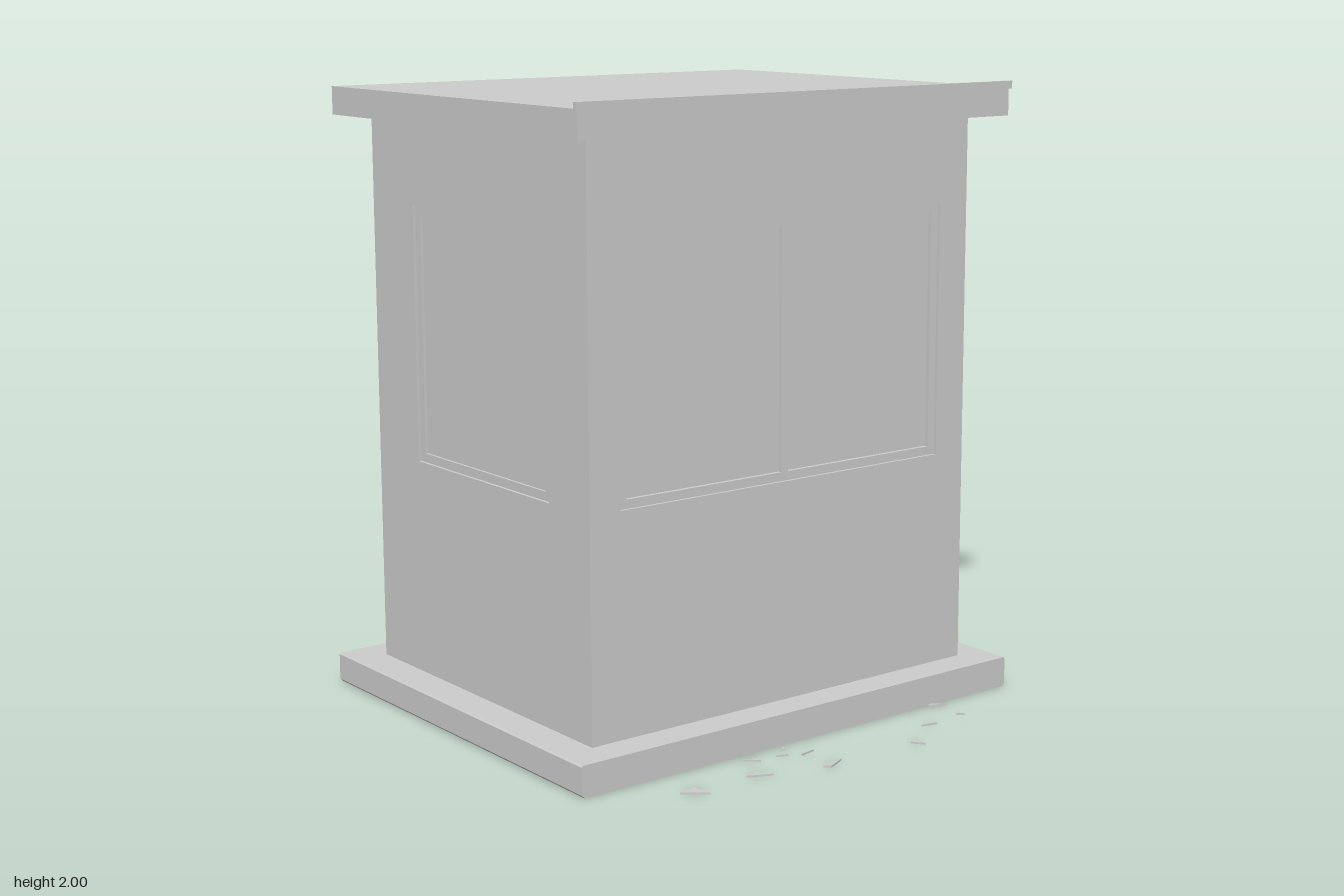
import * as THREE from 'three';

const grey = new THREE.MeshStandardMaterial({ color: 0xcccccc });
grey.name = 'plain grey';
const greyDouble = grey;

// Box given by its minimum and maximum corners
function box(parent, name, x0, x1, y0, y1, z0, z1) {
  const m = new THREE.Mesh(new THREE.BoxGeometry(x1 - x0, y1 - y0, z1 - z0), grey);
  m.position.set((x0 + x1) / 2, (y0 + y1) / 2, (z0 + z1) / 2);
  m.name = name;
  parent.add(m);
  return m;
}

function group(parent, name) {
  const g = new THREE.Group();
  g.name = name;
  parent.add(g);
  return g;
}

// Wall in its own plane (u along x, thickness along z) with one rectangular opening
function wallWithOpening(parent, name, u0, u1, y0, y1, t, o) {
  const g = group(parent, name);
  box(g, name + 'Lower', u0, u1, y0, o.y0, 0, t);
  box(g, name + 'Upper', u0, u1, o.y1, y1, 0, t);
  box(g, name + 'SideA', u0, o.u0, o.y0, o.y1, 0, t);
  box(g, name + 'SideB', o.u1, u1, o.y0, o.y1, 0, t);
  return g;
}

// Four-sided frame with optional glass, filling an opening
function windowUnit(parent, o, w, z0, z1) {
  const g = group(parent, 'window');
  box(g, 'frameBottom', o.u0, o.u1, o.y0, o.y0 + w, z0, z1);
  box(g, 'frameTop', o.u0, o.u1, o.y1 - w, o.y1, z0, z1);
  box(g, 'frameSideA', o.u0, o.u0 + w, o.y0 + w, o.y1 - w, z0, z1);
  box(g, 'frameSideB', o.u1 - w, o.u1, o.y0 + w, o.y1 - w, z0, z1);
  const zm = (z0 + z1) / 2;
  box(g, 'glass', o.u0 + w, o.u1 - w, o.y0 + w, o.y1 - w, zm - 0.004, zm + 0.004);
  return g;
}

function cylinder(parent, name, r0, r1, y0, y1, x, z) {
  const m = new THREE.Mesh(new THREE.CylinderGeometry(r1, r0, y1 - y0, 32), grey);
  m.position.set(x, (y0 + y1) / 2, z);
  m.name = name;
  parent.add(m);
}

export function createModel() {
  const root = new THREE.Group();
  root.name = 'guardBooth';

  // Base slab and floor
  const slab = new THREE.Shape();
  slab.moveTo(-0.965, 0).lineTo(0.725, 0).lineTo(0.735, 0.01).lineTo(0.735, 0.095);
  slab.lineTo(0.73, 0.1).lineTo(-0.97, 0.1).lineTo(-0.975, 0.095).lineTo(-0.975, 0.01);
  const base = new THREE.Mesh(
    new THREE.ExtrudeGeometry(slab, { depth: 1.41, bevelEnabled: false }), grey);
  base.position.z = -0.84;
  base.name = 'baseSlab';
  root.add(base);
  box(root, 'floor', -0.82, 0.58, 0.1, 0.13, -0.69, 0.41);

  // Roof with a raised strip along the front edge
  box(root, 'roof', -0.95, 0.715, 1.89, 1.98, -0.82, 0.55);
  box(root, 'roofFrontStrip', -0.96, 0.72, 1.975, 2.0, 0.545, 0.56);

  // Front wall with a two-pane window
  const fo = { u0: -0.75, u1: 0.51, y0: 0.8, y1: 1.62 };
  const front = wallWithOpening(root, 'frontWall', -0.86, 0.625, 0.1, 1.89, 0.05, fo);
  front.position.z = 0.41;
  windowUnit(front, fo, 0.028, 0.005, 0.04);
  box(front, 'mullion', -0.133, -0.107, 0.828, 1.592, 0.005, 0.04);

  // Back wall
  box(root, 'backWall', -0.86, 0.625, 0.1, 1.89, -0.73, -0.69);

  // Left-hand side wall with its window, turned to face -x
  const so = { u0: -0.49, u1: 0.25, y0: 0.8, y1: 1.62 };
  const side = wallWithOpening(root, 'windowSideWall', -0.69, 0.41, 0.1, 1.89, 0.04, so);
  side.rotation.y = -Math.PI / 2;
  side.position.x = -0.82;
  windowUnit(side, so, 0.028, 0.005, 0.03);

  // Door-side wall and door frame
  const doorWall = group(root, 'doorSideWall');
  box(doorWall, 'frontPier', 0.58, 0.62, 0.1, 1.89, 0.27, 0.41);
  box(doorWall, 'rearPier', 0.58, 0.62, 0.1, 1.89, -0.69, -0.32);
  box(doorWall, 'header', 0.58, 0.62, 1.65, 1.89, -0.32, 0.27);
  const casing = group(root, 'doorFrame');
  box(casing, 'jambFront', 0.58, 0.625, 0.13, 1.65, 0.25, 0.272);
  box(casing, 'jambRear', 0.58, 0.625, 0.13, 1.65, -0.32, -0.298);
  box(casing, 'frameHead', 0.58, 0.625, 1.63, 1.65, -0.298, 0.25);
  box(casing, 'threshold', 0.58, 0.625, 0.1, 0.132, -0.32, 0.272);

  // Open door: u runs from the hinge along local x, outer face towards +z
  const door = group(root, 'door');
  const o = { u0: 0.095, u1: 0.45, y0: 0.875, y1: 1.43 };
  const leaf = wallWithOpening(door, 'doorLeaf', 0, 0.54, 0.132, 1.626, 0.028, o);
  box(leaf, 'doorGlass', o.u0, o.u1, o.y0, o.y1, 0.011, 0.017);
  for (const s of [-1, 1]) {
    const a = s > 0 ? 0.028 : -0.04, b = s > 0 ? 0.068 : 0;
    box(door, 'handleStem', 0.47, 0.482, 0.78, 0.792, a, b);
    const z = s > 0 ? 0.056 : -0.04;
    box(door, 'handleLever', 0.385, 0.47, 0.78, 0.792, z, z + 0.012);
  }
  door.rotation.y = THREE.MathUtils.degToRad(52);
  door.position.set(0.615, 0, 0.238);

  // Desk under the front window
  const desk = group(root, 'desk');
  box(desk, 'deskTop', -0.82, 0.47, 0.75, 0.78, 0.14, 0.41);
  box(desk, 'deskEndPanel', 0.4, 0.43, 0.13, 0.75, 0.18, 0.41);
  box(desk, 'deskDrawers', -0.8, -0.5, 0.13, 0.75, 0.17, 0.41);

  // Round stool
  const stool = group(root, 'stool');
  cylinder(stool, 'stoolBase', 0.13, 0.12, 0.13, 0.155, -0.1, -0.245);
  cylinder(stool, 'stoolLeg', 0.016, 0.016, 0.155, 0.385, -0.1, -0.245);
  cylinder(stool, 'stoolSeat', 0.15, 0.15, 0.385, 0.43, -0.1, -0.245);

  // Flat shards lying in front: three x, z corners each
  const shards = [
    [-0.73, 0.715, -0.67, 0.705, -0.66, 0.77], [-0.41, 0.605, -0.365, 0.63, -0.37, 0.645],
    [-0.49, 0.725, -0.45, 0.72, -0.415, 0.76], [-0.305, 0.64, -0.265, 0.635, -0.27, 0.655],
    [-0.255, 0.605, -0.24, 0.59, -0.245, 0.61], [-0.235, 0.68, -0.18, 0.67, -0.235, 0.675],
    [-0.255, 0.8, -0.17, 0.785, -0.235, 0.815], [0.1, 0.8, 0.125, 0.795, 0.125, 0.84],
    [0.235, 0.705, 0.285, 0.705, 0.29, 0.72], [0.385, 0.575, 0.405, 0.57, 0.445, 0.6],
    [0.4, 0.69, 0.415, 0.68, 0.42, 0.71],
  ];
  const debris = group(root, 'shards');
  for (const [ax, az, bx, bz, cx, cz] of shards) {
    const s = new THREE.Shape([[ax, az], [bx, bz], [cx, cz]].map(([x, z]) => new THREE.Vector2(x, -z)));
    const m = new THREE.Mesh(new THREE.ExtrudeGeometry(s, { depth: 0.006, bevelEnabled: false }), greyDouble);
    m.rotation.x = -Math.PI / 2;
    m.name = 'shard';
    debris.add(m);
  }
  return root;
}
